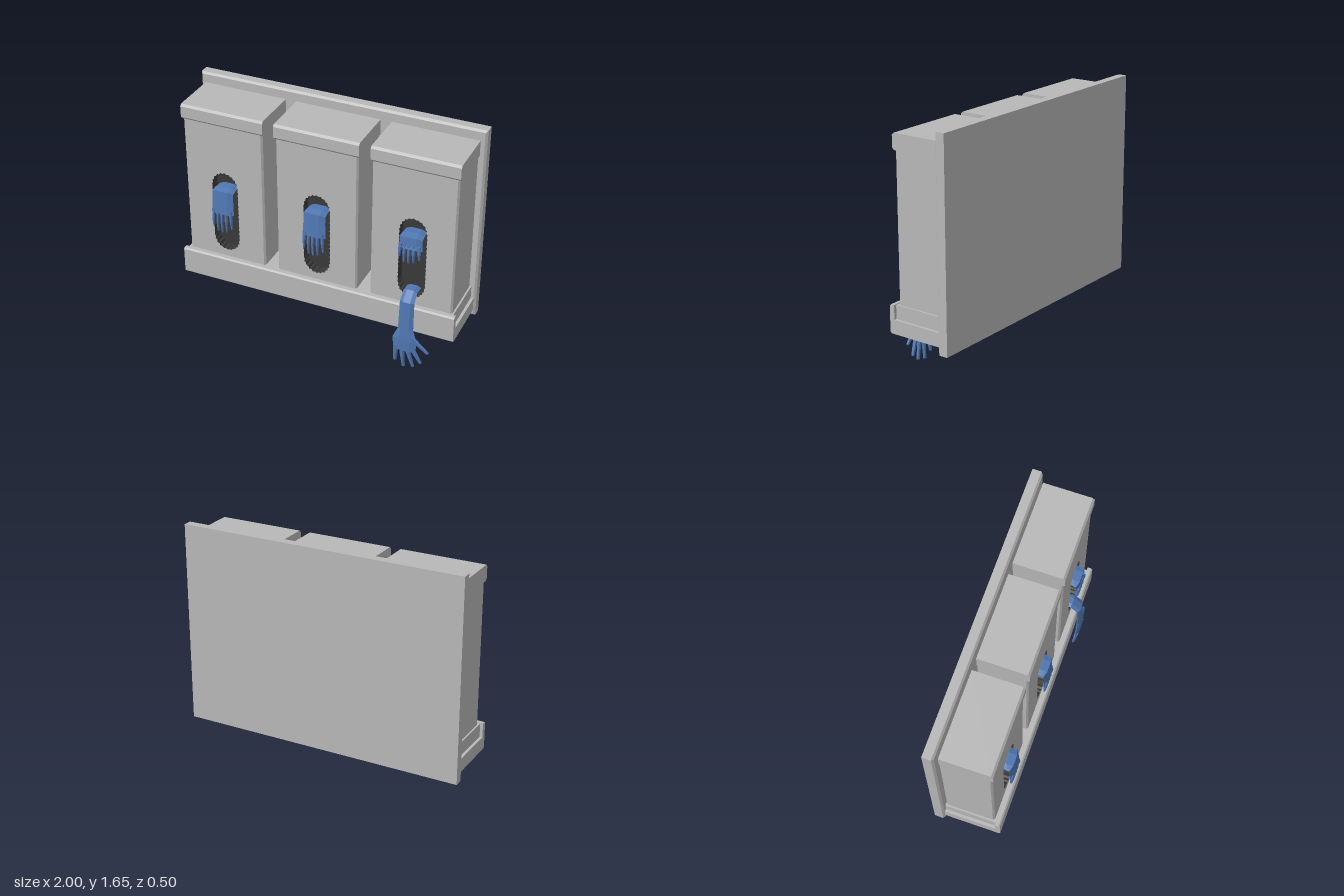
import * as THREE from 'three';

const material = (name, color, extra = {}) =>
  Object.assign(new THREE.MeshStandardMaterial({ color, flatShading: true, ...extra }), { name });

// Skins a list of equal-length rings of Vector3 (ordered counterclockwise about the direction of travel).
function skin(rings, { closed = true, caps = true } = {}) {
  const n = rings[0].length, pos = [];
  const tri = (...pts) => pts.forEach(p => pos.push(p.x, p.y, p.z));
  for (let k = 0; k + 1 < rings.length; k++) {
    for (let i = 0; i < (closed ? n : n - 1); i++) {
      const j = (i + 1) % n, a = rings[k], b = rings[k + 1];
      tri(a[i], a[j], b[j]);
      tri(a[i], b[j], b[i]);
    }
  }
  if (caps) {
    const first = rings[0], last = rings[rings.length - 1];
    for (let i = 1; i + 1 < n; i++) {
      tri(first[0], first[i + 1], first[i]);
      tri(last[0], last[i], last[i + 1]);
    }
  }
  const g = new THREE.BufferGeometry();
  g.setAttribute('position', new THREE.Float32BufferAttribute(pos, 3));
  g.computeVertexNormals();
  return g;
}

// Flattened six-sided limb along stations [x, y, z, halfWidth, halfThickness].
function limb(stations) {
  const centres = stations.map(s => new THREE.Vector3(s[0], s[1], s[2]));
  return skin(stations.map((s, k) => {
    const t = centres[Math.min(k + 1, centres.length - 1)].clone()
      .sub(centres[Math.max(k - 1, 0)]).normalize();
    const u = new THREE.Vector3(1, 0, 0).addScaledVector(t, -t.x).normalize();
    const v = t.clone().cross(u);
    return Array.from({ length: 6 }, (_, i) => {
      const a = i * Math.PI / 3;
      return centres[k].clone()
        .addScaledVector(u, s[3] * Math.cos(a)).addScaledVector(v, s[4] * Math.sin(a) * 1.15);
    });
  }));
}

// Side profile of [z, y] points swept across the width.
function sweepX(points, width) {
  const shape = new THREE.Shape(points.map(p => new THREE.Vector2(p[0], p[1])));
  return new THREE.ExtrudeGeometry(shape, { depth: width, bevelEnabled: false })
    .translate(0, 0, -width / 2).rotateY(-Math.PI / 2);
}

// Perforated slot outline: tall rounded opening with small teeth.
function slotOutline() {
  const pts = [], y0 = 0.835, side = 0.2, half = 0.093;
  for (const s of [1, -1]) {
    for (let i = 0; i < 20; i++) {
      const a = Math.PI * i / 20, r = i % 2 ? 0.95 : 1.03;
      pts.push(new THREE.Vector2(s * half * r * Math.cos(a), y0 + s * (side + 0.1 * r * Math.sin(a))));
    }
    for (let i = 0; i < 24; i++) {
      pts.push(new THREE.Vector2(-s * half * (i % 2 ? 0.99 : 1.03), y0 + s * side * (1 - i / 12)));
    }
  }
  return pts;
}

export function createModel() {
  const model = new THREE.Group();
  const grey = material('lightGrey', 0xb8b8b8);
  const dark = material('slotDark', 0x3a3a3a, { side: THREE.DoubleSide });
  const blue = material('gloveBlue', 0x5078b4);

  const add = (parent, name, geometry, mat) => {
    const mesh = new THREE.Mesh(geometry, mat);
    mesh.name = name;
    parent.add(mesh);
    return mesh;
  };
  const group = (name, x = 0) => {
    const g = new THREE.Group();
    g.name = name;
    g.position.x = x;
    model.add(g);
    return g;
  };

  // Wall board with a bevelled front edge
  const boardRing = (z, inset) => [[-1, -1], [1, -1], [1, 1], [-1, 1]].map(([sx, sy]) =>
    new THREE.Vector3(sx * (1 - inset), 0.953 + sy * (0.703 - inset), z));
  add(model, 'wallBoard', skin([boardRing(-0.25, 0), boardRing(-0.19, 0), boardRing(-0.177, 0.014)]), grey);

  // Tray: base with a raised front lip, and a narrower upper deck
  add(model, 'trayBase', sweepX([[-0.178, 0.295], [0.205, 0.295], [0.215, 0.305], [0.215, 0.48],
    [0.205, 0.49], [0.18, 0.49], [0.18, 0.39], [-0.178, 0.39]], 1.97), grey);
  add(model, 'trayDeck', new THREE.BoxGeometry(1.93, 0.1, 0.355).translate(0, 0.435, 0.0025), grey);

  // Three boxes, each with lid and recessed slot
  const outline = slotOutline();
  const hw = 0.286, zf = 0.168, zb = -0.165, b = 0.012;
  const plan = [[hw - b, zf], [hw, zf - b], [hw, zb], [-hw, zb], [-hw, zf - b], [-hw + b, zf]];
  const lidProfile = [[zb, 1.482], [0.166, 1.482], [0.18, 1.498], [0.18, 1.575], [0.166, 1.59], [zb, 1.59]];
  const boxes = [['rightBox', -0.667], ['middleBox', 0], ['leftBox', 0.667]].map(([name, x]) => {
    const box = group(name, x);
    add(box, 'boxWalls', skin([0.4, 1.5].map(y => plan.map(([px, pz]) => new THREE.Vector3(px, y, pz))),
      { closed: false, caps: false }), grey);
    const face = new THREE.Shape([[-1, 0.4], [1, 0.4], [1, 1.5], [-1, 1.5]]
      .map(([s, y]) => new THREE.Vector2(s * (hw - b), y)));
    face.holes.push(new THREE.Path(outline));
    add(box, 'boxFront', new THREE.ShapeGeometry(face).translate(0, 0, zf), grey);
    add(box, 'slotWall', skin([zf, 0.1].map(z => outline.map(p => new THREE.Vector3(p.x, p.y, z))),
      { caps: false }), dark);
    add(box, 'slotBack', new THREE.ShapeGeometry(new THREE.Shape(outline)).translate(0, 0, 0.1), dark);
    add(box, 'boxLid', sweepX(lidProfile, 0.59), grey);
    return box;
  });

  // Gloves folded over in the slots; the left one is pulled further in
  boxes.forEach((box, i) => {
    const pulled = i === 2, palmEnd = pulled ? 0.935 : 0.85, drop = pulled ? 0.08 : 0.12;
    add(box, 'foldedPalm', limb([[0, 1.012, 0.1, 0.07, 0.014], [0, 1.015, 0.165, 0.075, 0.014],
      [0, 1.01, 0.2, 0.077, 0.016], [0, 0.96, 0.204, 0.077, 0.013],
      [0, palmEnd, 0.211, 0.082, 0.014]]), blue);
    [-0.07, -0.04, -0.009, 0.024, 0.061].forEach((fx, f) => {
      const length = drop + [-0.01, 0.025, 0.03, 0.02, -0.01][f];
      add(box, 'foldedFinger', limb([[fx * 0.92, palmEnd + 0.03, 0.21, 0.014, 0.011],
        [fx, palmEnd - length * 0.4, 0.214, 0.012, 0.011],
        [fx * 1.03, palmEnd - length, 0.21, 0.007, 0.006]]), blue);
    });
  });

  // Glove hanging out of the left slot
  const hanging = group('hangingGlove');
  add(hanging, 'cuffAndPalm', limb([[0.665, 0.575, 0.1, 0.048, 0.012], [0.665, 0.582, 0.17, 0.048, 0.012],
    [0.665, 0.53, 0.224, 0.05, 0.014], [0.665, 0.32, 0.234, 0.053, 0.013],
    [0.662, 0.235, 0.236, 0.086, 0.015], [0.66, 0.15, 0.234, 0.078, 0.014]]), blue);
  const fingers = [ // root x, y then tip x, y
    ['littleFinger', 0.603, 0.18, 0.592, 0.04], ['ringFinger', 0.642, 0.17, 0.653, 0.005],
    ['middleFinger', 0.678, 0.17, 0.72, 0.018], ['indexFinger', 0.713, 0.18, 0.772, 0.062],
    ['thumb', 0.7, 0.27, 0.82, 0.155],
  ];
  for (const [name, x0, y0, x1, y1] of fingers) {
    add(hanging, name, limb([[x0, y0, 0.235, 0.02, 0.013],
      [(x0 + x1) / 2, (y0 + y1) / 2, 0.229, 0.016, 0.011],
      [x1, y1, 0.22, 0.012, 0.008]]), blue);
  }
  return model;
}
